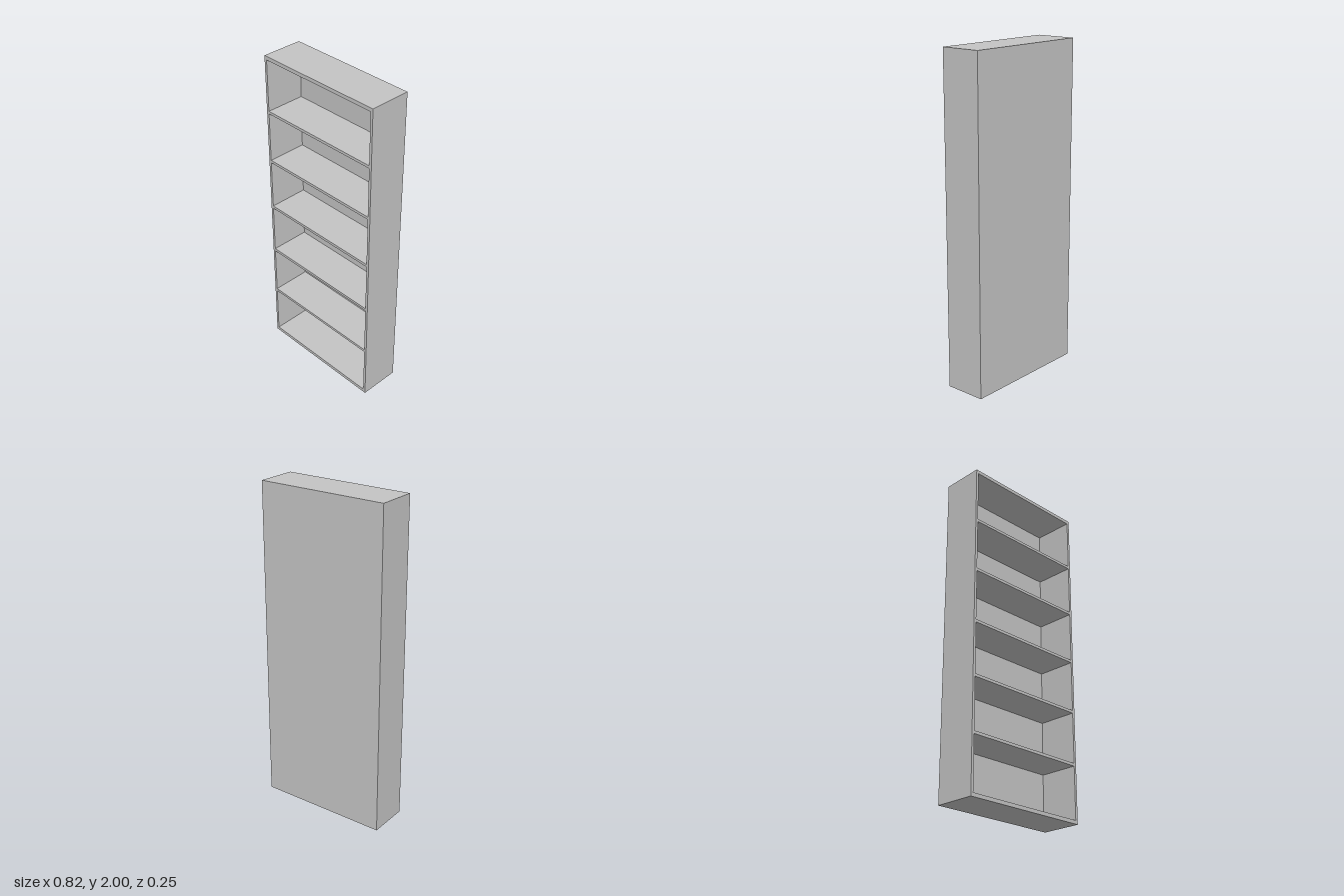
import * as THREE from 'three';

export function createModel() {
  const group = new THREE.Group();
  const panelGrey = new THREE.MeshStandardMaterial({ color: 0xc4c4c4 });
  panelGrey.name = 'panelGrey';

  const W = 0.816, H = 2, D = 0.252;
  const side = 0.016, cap = 0.022, shelf = 0.017, back = 0.006;
  const innerW = W - 2 * side;

  function board(name, w, h, d, x, y, z) {
    const mesh = new THREE.Mesh(new THREE.BoxGeometry(w, h, d), panelGrey);
    mesh.name = name;
    mesh.position.set(x, y, z);
    group.add(mesh);
  }

  // Side panels run the full height
  board('leftSide', side, H, D, (W - side) / 2, H / 2, 0);
  board('rightSide', side, H, D, -(W - side) / 2, H / 2, 0);

  // Top and bottom boards fit between the sides
  board('topBoard', innerW, cap, D, 0, H - cap / 2, 0);
  board('bottomBoard', innerW, cap, D, 0, cap / 2, 0);

  // Thin back panel
  board('backPanel', innerW, H - 2 * cap, back, 0, H / 2, -(D - back) / 2);

  // Five evenly spaced shelves, flush with the front
  for (let i = 0; i < 5; i++) {
    board('shelf' + (i + 1), innerW, shelf, D - back, 0, H / 2 + (i - 2) * 0.326, back / 2);
  }
  return group;
}
